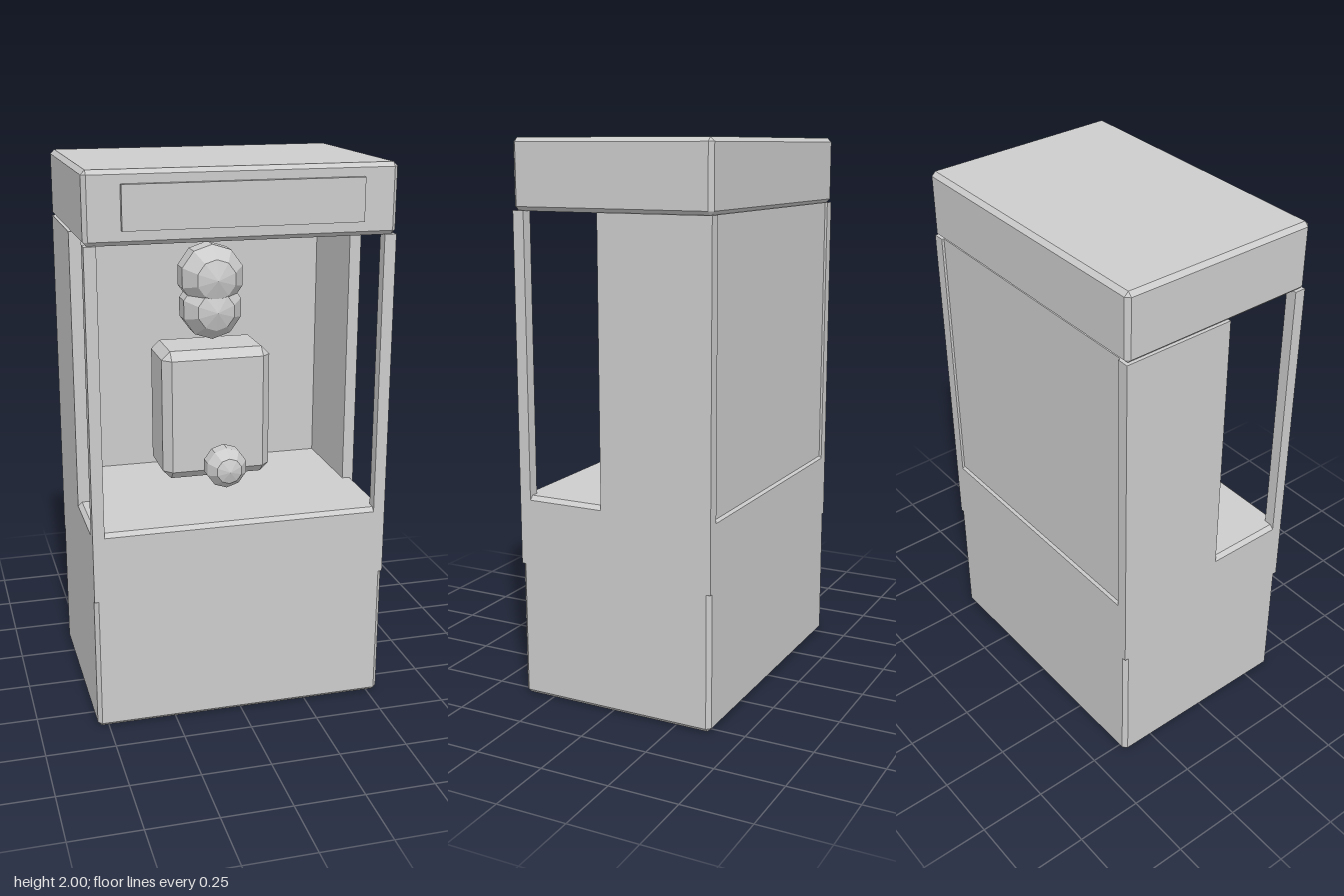
import * as THREE from 'three';
import { ConvexGeometry } from 'three/addons/geometries/ConvexGeometry.js';

const grey = new THREE.MeshStandardMaterial({ name: 'lightGrey', color: 0xcccccc, flatShading: true });

// Box between two corners whose edges and corners are all cut by c
function chamferBox([x0, y0, z0], [x1, y1, z1], c) {
  const centre = new THREE.Vector3((x0 + x1) / 2, (y0 + y1) / 2, (z0 + z1) / 2);
  const half = new THREE.Vector3((x1 - x0) / 2, (y1 - y0) / 2, (z1 - z0) / 2);
  const points = [];
  for (const sx of [-1, 1]) for (const sy of [-1, 1]) for (const sz of [-1, 1]) {
    for (let axis = 0; axis < 3; axis++) {
      const inset = new THREE.Vector3(c, c, c).setComponent(axis, 0);
      points.push(half.clone().sub(inset).multiply(new THREE.Vector3(sx, sy, sz)).add(centre));
    }
  }
  return new ConvexGeometry(points);
}

// Plain box between two corners
function box([x0, y0, z0], [x1, y1, z1]) {
  return new THREE.BoxGeometry(x1 - x0, y1 - y0, z1 - z0)
    .translate((x0 + x1) / 2, (y0 + y1) / 2, (z0 + z1) / 2);
}

// Low-poly ball with its pole facing forward and a vertex at the top
function ball(radius, y, z) {
  return new THREE.SphereGeometry(radius, 10, 5)
    .rotateX(Math.PI / 2).rotateZ(Math.PI / 2).translate(0, y, z);
}

export function createModel() {
  const booth = new THREE.Group();
  booth.name = 'booth';
  const add = (name, geometry) => {
    const mesh = new THREE.Mesh(geometry, grey);
    mesh.name = name;
    booth.add(mesh);
  };

  // Cabinet below, canopy and sign above
  add('base', chamferBox([-0.54, 0, -0.385], [0.54, 0.755, 0.365], 0.015));
  add('canopy', chamferBox([-0.54, 1.755, -0.385], [0.54, 2, 0.365], 0.015));
  add('sign', box([-0.415, 1.805, 0.355], [0.415, 1.955, 0.385]));

  // Back wall, set in slightly between the side walls
  add('backWall', box([-0.497, 0.74, -0.376], [0.497, 1.757, -0.333]));

  // Side walls and front posts, reaching down over the base
  for (const [side, s] of [['left', 1], ['right', -1]]) {
    const outer = s * 0.54;
    const span = (inner) => [Math.min(inner, outer), Math.max(inner, outer)];
    const [w0, w1] = span(s * 0.497);
    add(side + 'Wall', box([w0, 0.5, -0.385], [w1, 1.757, 0.035]));
    const [p0, p1] = span(s * 0.498);
    add(side + 'Post', box([p0, 0.5, 0.323], [p1, 1.757, 0.365]));
  }

  // Figure inside: body, two stacked head balls and a ball held in front
  add('figureBody', chamferBox([-0.207, 0.8, -0.23], [0.207, 1.295, 0.02], 0.032));
  add('lowerHead', ball(0.121, 1.435, -0.1));
  add('upperHead', ball(0.127, 1.555, -0.1));
  add('frontBall', ball(0.081, 0.88, 0.12));

  return booth;
}
